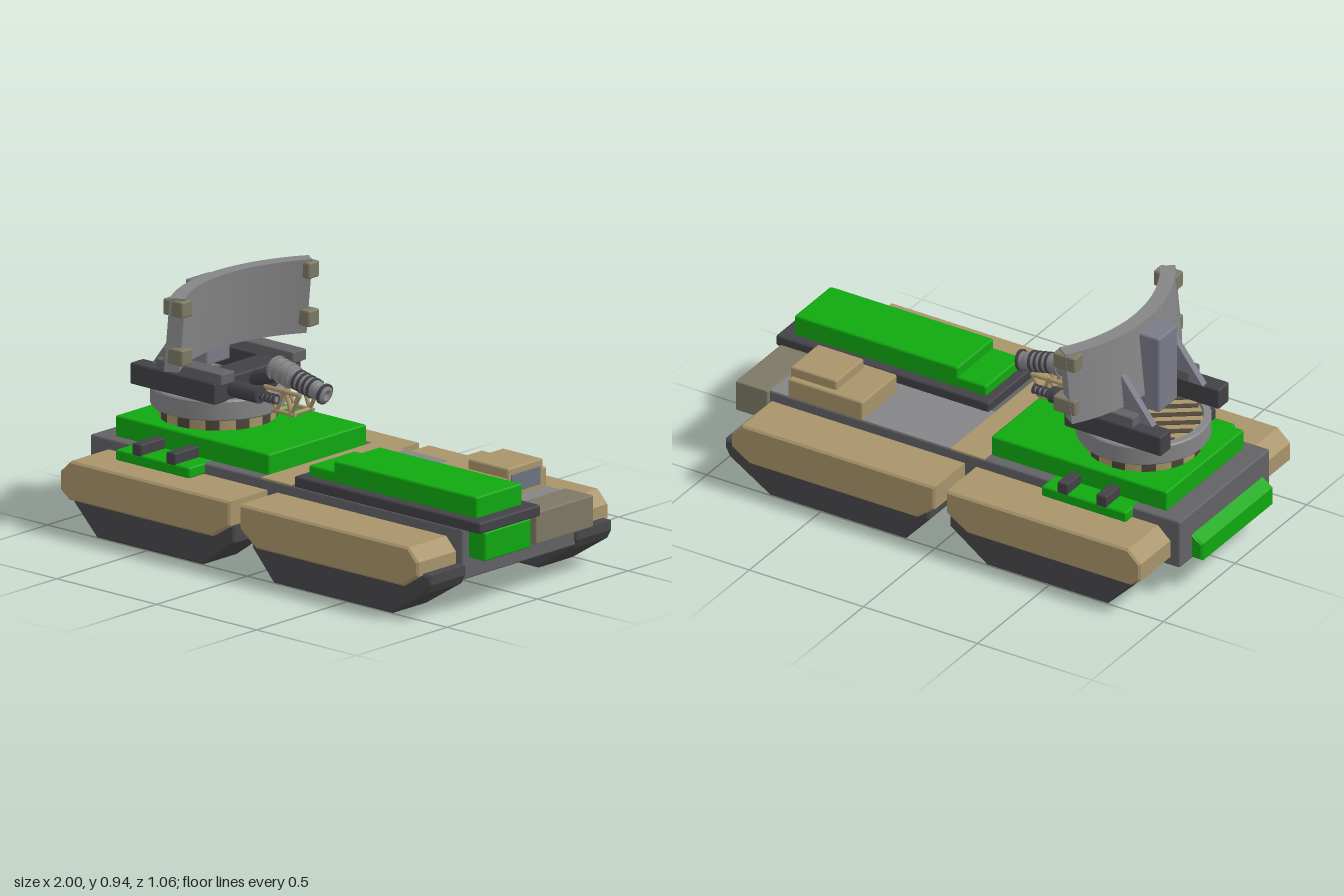
import * as THREE from 'three';
import { RoundedBoxGeometry } from 'three/addons/geometries/RoundedBoxGeometry.js';

const mat = (color, extra = {}) => new THREE.MeshStandardMaterial({ color, ...extra });
const M = {
  tan: mat(0xa8946a), green: mat(0x10a810), hull: mat(0x626165), dark: mat(0x424146),
  track: mat(0x48484a), steel: mat(0x858587, { side: THREE.DoubleSide }), deck: mat(0x858587),
  olive: mat(0x7d7965), mast: mat(0x7b7b89), glass: mat(0x6b7480), stripe: mat(0x4d4638),
};

export function createModel() {
  const root = new THREE.Group();
  const add = (name, geo, material, parent = root) => {
    const mesh = new THREE.Mesh(geo, material);
    mesh.name = name;
    parent.add(mesh);
    return mesh;
  };
  // softly bevelled box given by its extents
  const box = (name, material, x0, x1, y0, y1, z0, z1, r = 0.008) => {
    const s = [x1 - x0, y1 - y0, z1 - z0];
    const m = add(name, new RoundedBoxGeometry(...s, 1, Math.min(r, Math.min(...s) * 0.3)), material);
    m.position.set((x0 + x1) / 2, (y0 + y1) / 2, (z0 + z1) / 2);
    return m;
  };
  // side profile in x/y, extruded from z0 to z1 with a small chamfer
  const slab = (name, material, pts, z0, z1, b = 0.008) => {
    const shape = new THREE.Shape(pts.map(p => new THREE.Vector2(...p)));
    const geo = new THREE.ExtrudeGeometry(shape, {
      depth: z1 - z0 - 2 * b, bevelEnabled: true, bevelSize: b, bevelThickness: b, bevelOffset: -b, bevelSegments: 1,
    });
    geo.translate(0, 0, z0 + b);
    return add(name, geo, material);
  };
  // cylinder between two points
  const rod = (name, material, a, b, r0, r1 = r0, sides = 16) => {
    const p = new THREE.Vector3(...a), q = new THREE.Vector3(...b), d = q.clone().sub(p);
    const m = add(name, new THREE.CylinderGeometry(r1, r0, d.length(), sides), material);
    m.position.copy(p).add(q).multiplyScalar(0.5);
    m.quaternion.setFromUnitVectors(new THREE.Vector3(0, 1, 0), d.normalize());
    return m;
  };

  // hull and deck
  box('hull', M.hull, -0.955, 0.91, 0.127, 0.325, -0.315, 0.315);
  box('deckBand', M.tan, -0.1, 0.05, 0.3, 0.328, -0.314, 0.314, 0.002);
  box('deckPlate', M.deck, 0.05, 0.84, 0.3, 0.328, -0.314, 0, 0.002);
  box('endLocker', M.olive, 0.84, 0.98, 0.207, 0.332, -0.332, -0.015, 0.006);
  box('endCrate', M.green, 0.895, 0.99, 0.207, 0.32, 0.023, 0.278);
  slab('tailCrate', M.green, [[-1, 0.13], [-0.945, 0.13], [-0.945, 0.238], [-1, 0.2]], -0.23, 0.27);

  // four track pods with fenders
  const fenderA = [[-0.915, 0.165], [-0.87, 0.133], [-0.155, 0.133], [-0.065, 0.19], [-0.065, 0.285], [-0.86, 0.285], [-0.915, 0.235]];
  const fenderB = [[-0.015, 0.19], [0.065, 0.13], [0.8, 0.13], [0.878, 0.18], [0.878, 0.235], [0.83, 0.285], [-0.015, 0.285]];
  const trackA = [[-0.87, 0.12], [-0.755, 0.005], [-0.225, 0.005], [-0.065, 0.12], [-0.065, 0.185], [-0.87, 0.185]];
  const trackB = [[0.025, 0.12], [0.13, 0.005], [0.725, 0.005], [0.9, 0.115], [0.92, 0.15], [0.92, 0.187], [0.025, 0.187]];
  for (const s of [1, -1]) {
    const span = (a, b) => (s > 0 ? [a, b] : [-b, -a]);
    slab('rearFender', M.tan, fenderA, ...span(0.308, 0.528));
    slab('frontFender', M.tan, fenderB, ...span(0.308, 0.528));
    slab('rearTrack', M.track, trackA, ...span(0.302, 0.503));
    slab('frontTrack', M.track, trackB, ...span(0.302, 0.503));
    // side steps with clamps
    const out = s > 0 ? 0.402 : 0.365;
    box('sideStep', M.green, -0.75, -0.38, 0.283, 0.326, ...span(0.25, out));
    for (const x of [-0.665, -0.495])
      box('stepClamp', M.dark, x, x + 0.045, 0.32, 0.367, ...span(0.26, out), 0.005);
  }

  // long covered stowage and cab
  box('stowageTray', M.dark, 0.068, 1, 0.322, 0.366, -0.02, 0.317);
  box('stowageStep', M.green, 0.105, 0.5, 0.36, 0.407, 0.022, 0.276);
  box('stowageCover', M.green, 0.23, 0.945, 0.36, 0.447, 0.022, 0.276);
  box('cab', M.tan, 0.435, 0.762, 0.32, 0.402, -0.315, -0.07);
  box('cabRoof', M.tan, 0.565, 0.767, 0.32, 0.441, -0.29, -0.095);
  box('cabWindow', M.glass, 0.76, 0.771, 0.345, 0.415, -0.27, -0.112, 0.002);

  // turntable with a striped drum inside an open collar
  const cx = -0.6, R = 0.22, topY = 0.515;
  box('turntableBase', M.green, -0.87, -0.1, 0.32, 0.405, -0.27, 0.27);
  add('drum', new THREE.CylinderGeometry(R, R, topY - 0.39, 48), M.tan).position.set(cx, (topY + 0.39) / 2, 0);
  for (let i = 0; i < 12; i++)
    add('drumBand', new THREE.CylinderGeometry(R + 0.002, R + 0.002, 0.06, 6, 1, true, i * Math.PI / 6, Math.PI / 13), M.stripe)
      .position.set(cx, 0.425, 0);
  const stripes = new THREE.Group();
  stripes.name = 'drumStripes';
  stripes.position.set(cx, topY, 0);
  stripes.rotation.y = Math.PI / 5;
  root.add(stripes);
  for (let z = -0.18; z < 0.2; z += 0.06)
    add('stripe', new THREE.BoxGeometry(2 * Math.sqrt(R * R - (Math.abs(z) + 0.014) ** 2), 0.004, 0.028), M.stripe, stripes).position.z = z;
  const collar = [[0.223, 0.45], [0.248, 0.45], [0.252, 0.455], [0.252, 0.522], [0.247, 0.528], [0.223, 0.528], [0.223, 0.45]];
  const ring = collar.flatMap(p => [new THREE.Vector2(...p), new THREE.Vector2(...p)]);
  add('collar', new THREE.LatheGeometry(ring, 48), M.steel).position.x = cx;

  // cradle: side arms, crossbeam, pistons
  box('crossbeam', M.dark, -0.54, -0.415, 0.52, 0.615, -0.17, 0.17);
  for (const s of [1, -1]) {
    const span = (a, b) => (s > 0 ? [a, b] : [-b, -a]);
    box('sideArm', M.dark, -0.825, -0.4, 0.528, 0.612, ...span(0.165, 0.24));
    box('upperRail', M.hull, -0.7, -0.37, 0.608, 0.652, ...span(0.16, 0.235), 0.005);
    slab('railBrace', M.mast, [[-0.76, 0.61], [-0.6, 0.61], [-0.6, 0.8], [-0.615, 0.8]], ...span(0.16, 0.19), 0.003);
    const z = s * 0.122;
    rod('piston', M.dark, [-0.43, 0.567, z], [-0.275, 0.567, z], 0.032);
    rod('pistonShaft', M.steel, [-0.28, 0.567, z], [-0.195, 0.567, z], 0.011);
    for (let i = 0; i < 4; i++)
      rod('pistonRing', M.dark, [-0.265 + i * 0.02, 0.567, z], [-0.256 + i * 0.02, 0.567, z], 0.02);
  }

  // curved reflector leaning slightly forward
  const dish = new THREE.Shape();
  dish.absarc(0, 0, 0.68, Math.PI - 0.6, Math.PI + 0.6, false);
  dish.absarc(0, 0, 0.622, Math.PI + 0.6, Math.PI - 0.6, true);
  const dishGeo = new THREE.ExtrudeGeometry(dish, { depth: 0.29, bevelEnabled: false, curveSegments: 24 });
  dishGeo.rotateX(-Math.PI / 2).translate(0.035, 0.66, -0.015);
  const pos = dishGeo.attributes.position;
  for (let i = 0; i < pos.count; i++) pos.setX(i, pos.getX(i) + (pos.getY(i) - 0.76) * 0.1);
  dishGeo.computeVertexNormals();
  add('reflector', dishGeo, M.steel);
  for (const y of [0.692, 0.878])
    for (const z of [0.303, -0.398])
      box('reflectorClamp', M.olive, -0.548, -0.45, y, y + 0.064, z, z + 0.06);
  box('mast', M.mast, -0.715, -0.605, 0.6, 0.917, -0.075, 0.055);

  // emitter, built along +y then tipped forward and down
  const gun = new THREE.Group();
  gun.name = 'emitter';
  gun.position.set(-0.325, 0.645, 0);
  gun.rotation.z = -Math.PI / 2 - 0.22;
  root.add(gun);
  const sections = [[0, 0.032], [0.008, 0.044], [0.11, 0.046], [0.115, 0.037], [0.235, 0.035], [0.24, 0.033], [0.275, 0.033], [0.28, 0.022], [0.27, 0]];
  const profile = [new THREE.Vector2(0, 0), ...sections.flatMap(([y, r]) => [new THREE.Vector2(r, y), new THREE.Vector2(r, y)])];
  add('emitterBody', new THREE.LatheGeometry(profile, 20), M.steel, gun);
  [0.02, 0.055, 0.09, 0.135, 0.16, 0.185, 0.21, 0.265].forEach((y, i) => {
    const rr = i < 3 ? 0.049 : 0.041;
    add('emitterRib', new THREE.CylinderGeometry(rr, rr, 0.01, 20), i < 3 ? M.deck : M.dark, gun).position.y = y;
  });

  // lattice stand below the emitter
  for (const z of [0.05, -0.05]) {
    const path = [[-0.31, 0.575], [-0.26, 0.495], [-0.22, 0.585], [-0.185, 0.495], [-0.145, 0.575]];
    for (let i = 0; i < 4; i++) rod('standStrut', M.tan, [...path[i], z], [...path[i + 1], z], 0.008, 0.008, 8);
    rod('standRail', M.tan, [-0.32, 0.578, z], [-0.14, 0.575, z], 0.009, 0.009, 8);
    rod('standFoot', M.tan, [-0.28, 0.495, z], [-0.165, 0.495, z], 0.008, 0.008, 8);
  }
  for (const x of [-0.26, -0.185])
    rod('standCrossbar', M.tan, [x, 0.495, -0.06], [x, 0.495, 0.06], 0.009, 0.009, 8);
  rod('emitterMount', M.dark, [-0.42, 0.58, 0], [-0.29, 0.62, 0], 0.03);

  return root;
}
